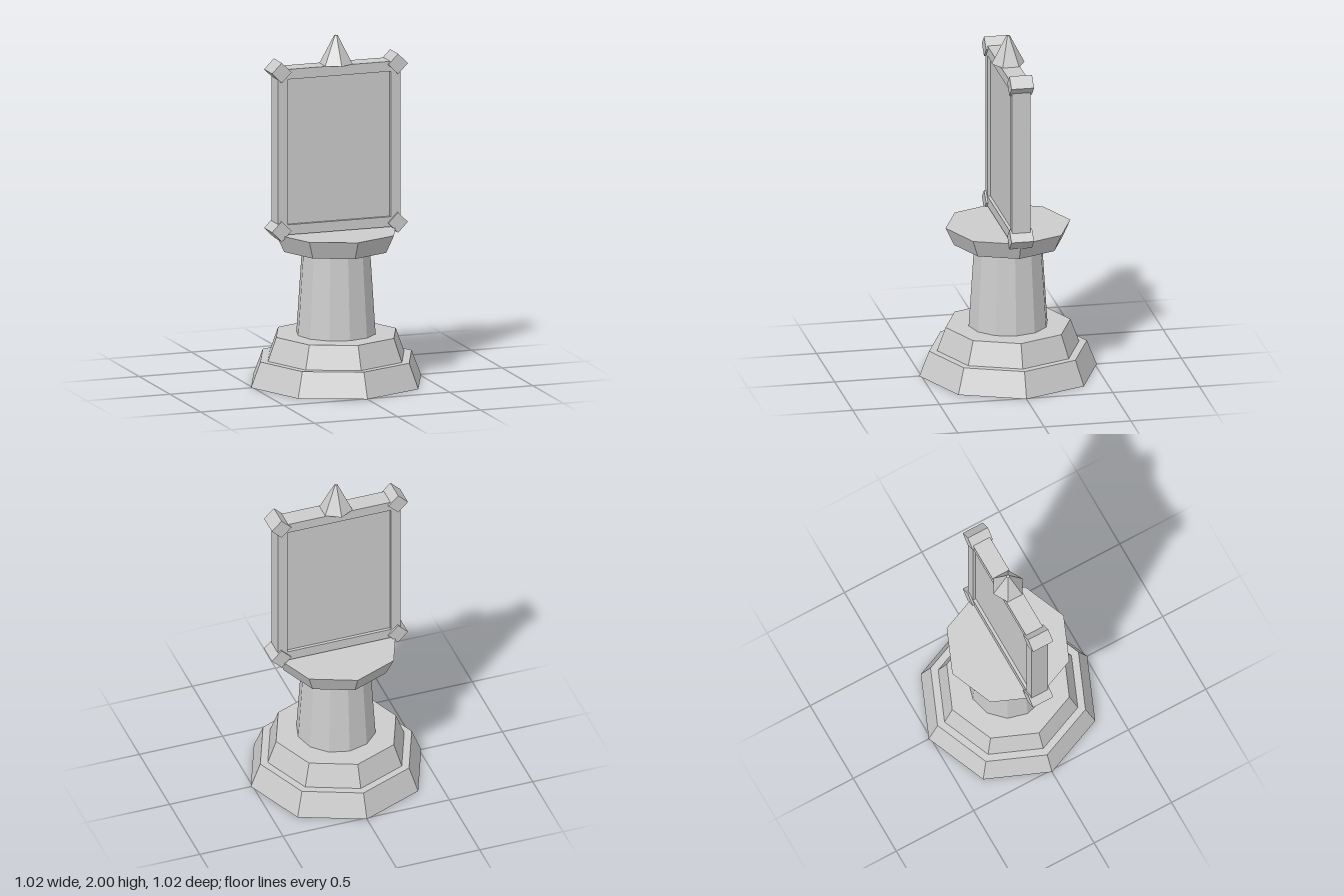
import * as THREE from 'three';

const stone = new THREE.MeshStandardMaterial({ color: 0xcccccc, flatShading: true });
stone.name = 'pale stone';

export function createModel() {
  const group = new THREE.Group();

  const add = (name, geometry, x = 0, y = 0, z = 0) => {
    const mesh = new THREE.Mesh(geometry, stone);
    mesh.name = name;
    mesh.position.set(x, y, z);
    group.add(mesh);
    return mesh;
  };

  // Tapered prism standing between two heights
  const prism = (name, rTop, rBottom, y0, y1, sides) =>
    add(name, new THREE.CylinderGeometry(rTop, rBottom, y1 - y0, sides), 0, (y0 + y1) / 2, 0);

  // Pedestal
  prism('lowerBase', 0.455, 0.512, 0, 0.145, 8);
  prism('upperBase', 0.36, 0.41, 0.145, 0.28, 8);
  prism('column', 0.195, 0.227, 0.28, 0.77, 12);
  prism('collar', 0.36, 0.312, 0.77, 0.873, 8);

  // Rectangular frame around a panel recessed on both faces
  const bottom = 0.88, top = 1.836, half = 0.368, rim = 0.058, depth = 0.108;
  const rectangle = (path, w, y0, y1) => {
    path.moveTo(-w, y0);
    path.lineTo(w, y0);
    path.lineTo(w, y1);
    path.lineTo(-w, y1);
    path.closePath();
    return path;
  };
  const outline = rectangle(new THREE.Shape(), half, bottom, top);
  outline.holes.push(rectangle(new THREE.Path(), half - rim, bottom + rim, top - rim));
  add('frame', new THREE.ExtrudeGeometry(outline, { depth, bevelEnabled: false }), 0, 0, -depth / 2);
  add('panel', new THREE.BoxGeometry(2 * (half - rim), top - bottom - 2 * rim, depth - 0.036),
    0, (top + bottom) / 2, 0);

  // Diamond-set blocks on the four corners
  for (const x of [-0.35, 0.35]) {
    for (const y of [0.903, 1.82]) {
      add('cornerBlock', new THREE.BoxGeometry(0.083, 0.083, 0.13), x, y, 0).rotation.z = Math.PI / 4;
    }
  }

  // Spire
  prism('spire', 0.01, 0.095, top, 2, 6);

  return group;
}
